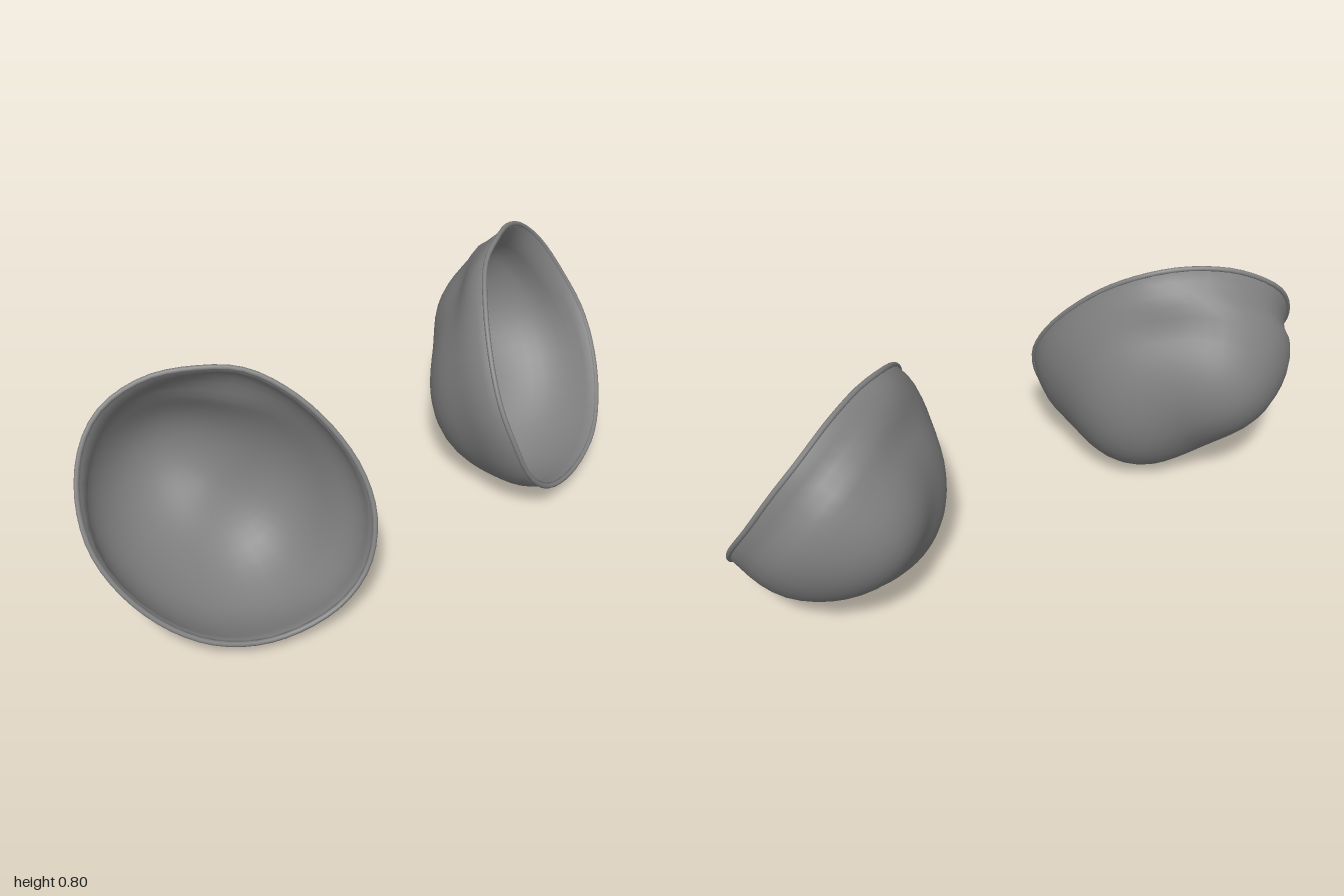
import * as THREE from 'three';
import { mergeVertices } from 'three/addons/utils/BufferGeometryUtils.js';

const CENTRE = new THREE.Vector3(0.63, 0.42, 0.08);
const POLE = new THREE.Vector3(-0.44, -0.42, -0.79).normalize();   // deepest direction of the bowl
const LONG = new THREE.Vector3(0.57, 0.55, -0.61).normalize();     // long axis of the opening
LONG.addScaledVector(POLE, -LONG.dot(POLE)).normalize();
const SHORT = new THREE.Vector3().crossVectors(POLE, LONG);
const HOLLOW = new THREE.Vector3(-0.4, 0.6, -0.65).normalize();    // flattened upper back
const BELLY = new THREE.Vector3(-0.25, -0.97, 0).normalize();      // fuller underside
const BEAD = 0.008;

// outline of the slanted opening, clockwise from the top
const rimPoints = [
  [0.575, 0.787, -0.088], [0.705, 0.771, -0.159], [0.826, 0.707, -0.2], [0.907, 0.625, -0.192],
  [0.97, 0.505, -0.145], [0.998, 0.377, -0.06], [0.97, 0.26, 0.035], [0.89, 0.15, 0.14],
  [0.78, 0.08, 0.225], [0.62, 0.047, 0.29], [0.435, 0.1, 0.345], [0.33, 0.2, 0.357],
  [0.275, 0.34, 0.33], [0.265, 0.457, 0.27], [0.297, 0.58, 0.185], [0.37, 0.697, 0.078],
  [0.463, 0.767, -0.02],
].map((p) => {
  const d = new THREE.Vector3(...p).sub(CENTRE);
  return d.setLength(d.length() - BEAD);
});
const rimCurve = new THREE.CatmullRomCurve3(rimPoints, true);

// bowl surface: u runs round the rim, s from the rim (0) to the deepest point (1)
function bowlPoint(u, s, inset) {
  const rim = rimCurve.getPoint(u);
  const rimRadius = rim.length();
  const a = s * Math.PI / 2;
  const dir = rim.normalize().multiplyScalar(Math.cos(a)).addScaledVector(POLE, Math.sin(a)).normalize();
  const along = dir.dot(LONG);
  const m = along ** 2, n = dir.dot(POLE) ** 2, k = dir.dot(SHORT) ** 2;
  const body = 1 / Math.sqrt(m / 0.2025 + k / 0.148 + n / 0.1444) + 0.26 * m * n * n
    - 0.06 * Math.max(0, dir.dot(HOLLOW)) ** 4
    + 0.025 * Math.max(0, dir.dot(BELLY)) ** 6;
  const w = THREE.MathUtils.smoothstep(s, 0, 0.36);
  // slight pinch behind the raised end of the rim
  const pinch = 0.03 * Math.max(0, along) ** 4 * Math.exp(-(((s - 0.1) / 0.07) ** 2)) * Math.min(1, s * 16);
  const p = dir.multiplyScalar(THREE.MathUtils.lerp(rimRadius, body, w) - pinch - inset);
  if (p.x < 0) p.x *= 1 - 0.1 * w;
  return p;
}

// closed double wall: inner pole -> rim -> outer pole
function shellGeometry(side) {
  const around = 40, deep = 16, rows = [];
  for (let i = deep; i >= 0; i--) rows.push([i / deep, 0.012]);
  for (let i = 0; i <= deep; i++) rows.push([i / deep, 0]);
  const positions = [], index = [];
  rows.forEach(([s, inset], i) => {
    for (let j = 0; j < around; j++) {
      const u = side > 0 ? j / around : 1 - j / around;
      const p = bowlPoint(u % 1, s, inset).add(CENTRE);
      positions.push(p.x * side, p.y, p.z);
      if (i === rows.length - 1) continue;
      const a = i * around + j, b = i * around + (j + 1) % around;
      if (i > 0) index.push(a, b, a + around);
      if (i < rows.length - 2) index.push(b, b + around, a + around);
    }
  });
  let geometry = new THREE.BufferGeometry();
  geometry.setAttribute('position', new THREE.Float32BufferAttribute(positions, 3));
  geometry.setIndex(index);
  geometry = mergeVertices(geometry, 1e-5);
  geometry.computeVertexNormals();
  return geometry;
}

export function createModel() {
  const model = new THREE.Group();
  model.name = 'pairOfCups';
  const material = new THREE.MeshStandardMaterial({ color: 0x808080, side: THREE.DoubleSide });
  for (const side of [1, -1]) {
    const cup = new THREE.Group();
    cup.name = side > 0 ? 'leftCup' : 'rightCup';

    const shell = new THREE.Mesh(shellGeometry(side), material);
    shell.name = 'shell';

    // rounded bead along the rim
    const path = new THREE.CatmullRomCurve3(rimPoints.map((p) => {
      const q = p.clone().add(CENTRE);
      q.x *= side;
      return q;
    }), true);
    const rim = new THREE.Mesh(new THREE.TubeGeometry(path, 60, BEAD, 8, true), material);
    rim.name = 'rim';

    cup.add(shell, rim);
    model.add(cup);
  }
  return model;
}
